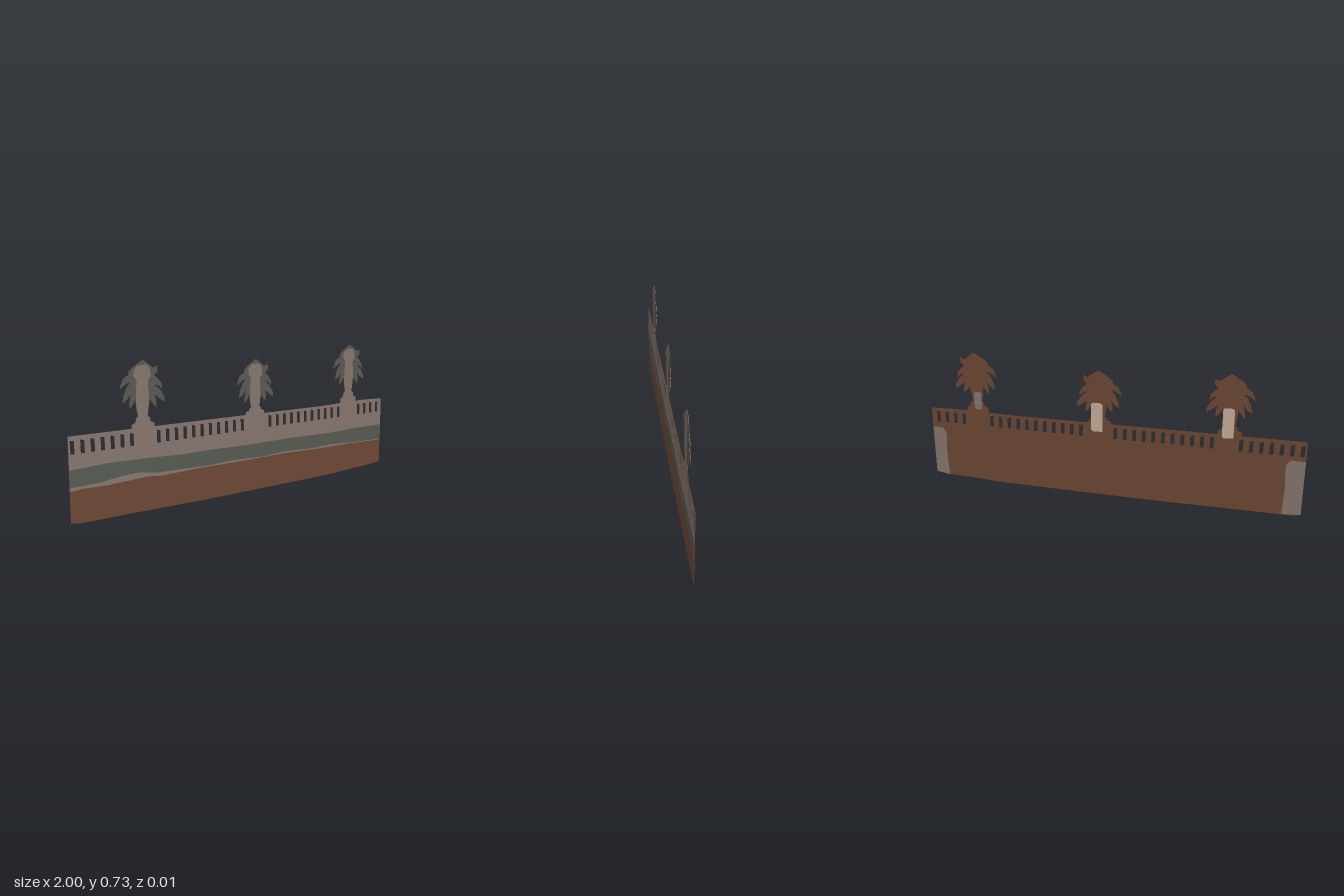
import * as THREE from 'three';

const mat = (name, color, side = THREE.FrontSide) => {
  const m = new THREE.MeshStandardMaterial({ color, side });
  m.name = name;
  return m;
};

export function createModel() {
  const root = new THREE.Group();
  root.name = 'balustradeWithPalms';
  const brown = mat('earth brown', 0x6c4735);
  const stone = mat('stone grey', 0x85756d);
  const green = mat('dull green', 0x555a51);
  const tan = mat('pale tan', 0xc4ae99);

  const shapeOf = (pts) => new THREE.Shape(pts.map(([x, y]) => new THREE.Vector2(x, y)));
  const add = (parent, name, geo, material, z, back = false) => {
    const mesh = new THREE.Mesh(geo, material);
    mesh.name = name;
    mesh.position.z = z;
    if (back) mesh.rotation.y = Math.PI;
    parent.add(mesh);
    return mesh;
  };
  const slab = (shape) => new THREE.ExtrudeGeometry(shape, { depth: 0.002, bevelEnabled: false });
  const sheet = (shape) => new THREE.ShapeGeometry(shape);

  // Slots between the balusters, in four runs
  const slots = [];
  for (const [start, count] of [[-0.98, 7], [-0.535, 11], [0.15, 11], [0.812, 4]]) {
    for (let i = 0; i < count; i++) {
      const x = start + i * 0.05;
      const y = 0.334 - (x + 1) * 0.003;
      slots.push([[x - 0.01, y], [x + 0.01, y - 0.002], [x + 0.009, y + 0.058], [x - 0.011, y + 0.063]]);
    }
  }
  const pierce = (shape) => {
    for (const s of slots) shape.holes.push(new THREE.Path(s.map(([x, y]) => new THREE.Vector2(x, y))));
    return shape;
  };

  const topEdge = [[1, 0.405], [0.85, 0.41], [0.5, 0.404], [0, 0.409], [-0.55, 0.413], [-1, 0.416]];

  // Wall backing, seen as the earth band in front and the whole rear
  add(root, 'wallPanel', slab(pierce(shapeOf([
    [-1, 0.02], [-0.95, 0.011], [-0.65, 0.009], [-0.27, 0.003], [0.6, 0.003],
    [0.75, 0.01], [0.92, 0.014], [1, 0.024], ...topEdge,
  ]))), brown, -0.002);

  // Stone front with an uneven lower edge
  add(root, 'stoneFront', sheet(pierce(shapeOf([
    [-1, 0.165], [-0.94, 0.17], [-0.82, 0.166], [-0.6, 0.175], [-0.52, 0.167], [-0.3, 0.172],
    [0, 0.17], [0.25, 0.173], [0.5, 0.165], [0.75, 0.163], [1, 0.155], ...topEdge,
  ]))), stone, 0.001);

  // Hedge band
  add(root, 'hedgeBand', sheet(shapeOf([
    [-1, 0.182], [-0.85, 0.185], [-0.75, 0.198], [-0.65, 0.202], [-0.55, 0.186], [-0.4, 0.183],
    [-0.25, 0.178], [-0.1, 0.183], [0.1, 0.175], [0.25, 0.182], [0.45, 0.174], [0.6, 0.178],
    [0.8, 0.166], [1, 0.16],
    [1, 0.248], [0.8, 0.25], [0.55, 0.245], [0.3, 0.252], [0, 0.251], [-0.2, 0.256],
    [-0.4, 0.256], [-0.6, 0.265], [-0.82, 0.27], [-1, 0.262],
  ])), green, 0.002);

  // Palm outline around the trunk line: stepped plinth, trunk and drooping fronds
  const palmOutline = [
    [-0.06, 0.40], [0.06, 0.40], [0.06, 0.432], [0.04, 0.44], [0.038, 0.458], [0.026, 0.468],
    [0.03, 0.5], [0.04, 0.545], [0.055, 0.522], [0.074, 0.503], [0.074, 0.535], [0.066, 0.565],
    [0.098, 0.54], [0.122, 0.527], [0.118, 0.552], [0.095, 0.588], [0.065, 0.612],
    [0.088, 0.606], [0.108, 0.588], [0.104, 0.615], [0.085, 0.64], [0.066, 0.655],
    [0.084, 0.672], [0.084, 0.7], [0.064, 0.69], [0.046, 0.702], [0.03, 0.714], [0.006, 0.731],
    [-0.02, 0.715], [-0.05, 0.697], [-0.072, 0.676], [-0.068, 0.668], [-0.1, 0.648], [-0.118, 0.602],
    [-0.085, 0.626], [-0.058, 0.632], [-0.08, 0.61], [-0.098, 0.57], [-0.104, 0.537],
    [-0.08, 0.552], [-0.06, 0.578], [-0.068, 0.54], [-0.07, 0.508], [-0.052, 0.525],
    [-0.038, 0.55], [-0.032, 0.5], [-0.025, 0.468], [-0.036, 0.46], [-0.04, 0.44], [-0.06, 0.432],
  ];
  const trunkOutline = [
    [-0.06, 0.40], [0.06, 0.40], [0.06, 0.432], [0.04, 0.44], [0.038, 0.458], [0.026, 0.468],
    [0.03, 0.5], [0.035, 0.54], [0.032, 0.6], [0.03, 0.635], [0.045, 0.65], [0.044, 0.685],
    [0.025, 0.708], [-0.025, 0.705], [-0.045, 0.685], [-0.046, 0.66], [-0.03, 0.638],
    [-0.033, 0.59], [-0.036, 0.545], [-0.032, 0.5], [-0.025, 0.468], [-0.036, 0.46],
    [-0.04, 0.44], [-0.06, 0.432],
  ];
  const palms = [
    { x: -0.62, dy: 0, patch: tan, w: 0.058, y0: 0.395, y1: 0.555, px: -0.612 },
    { x: 0.048, dy: -0.036, patch: tan, w: 0.062, y0: 0.36, y1: 0.52, px: 0.062 },
    { x: 0.725, dy: 0.005, patch: stone, w: 0.042, y0: 0.42, y1: 0.52, px: 0.722 },
  ];
  for (const p of palms) {
    const palm = new THREE.Group();
    palm.name = 'palm';
    // Keep the plinth foot on the wall while the crown shifts
    const place = (pts) => shapeOf(pts.map(([x, y]) => [p.x + x, y > 0.41 ? y + p.dy * Math.min(1, (y - 0.41) / 0.1) : y]));
    add(palm, 'palmBacking', slab(place(palmOutline)), brown, -0.002);
    add(palm, 'fronds', sheet(place(palmOutline)), green, 0.0015);
    add(palm, 'trunk', sheet(place(trunkOutline)), stone, 0.0025);
    root.add(palm);
    // Rear trunk patch with softened corners
    const h = p.w / 2, c = 0.01;
    add(root, 'rearTrunkPatch', sheet(shapeOf([
      [-p.px - h + c, p.y0], [-p.px + h, p.y0 + 0.004], [-p.px + h, p.y1 - c],
      [-p.px + h - c, p.y1], [-p.px - h + c, p.y1], [-p.px - h, p.y1 - c], [-p.px - h, p.y0 + c],
    ])), p.patch, -0.003, true);
  }

  // Rear end patches
  for (const [s, w, bottom, top] of [[1, 0.077, 0.024, 0.295], [-1, 0.095, 0.02, 0.312]]) {
    const pts = [[1, bottom], [1, top], [1 - w + 0.02, top], [1 - w, top - 0.03], [1 - w + 0.006, 0.15], [1 - w, 0.014]];
    add(root, 'rearEndPatch', sheet(shapeOf(pts.map(([x, y]) => [-s * x, y]))), stone, -0.003, true);
  }

  root.position.y = -0.003;
  return root;
}
